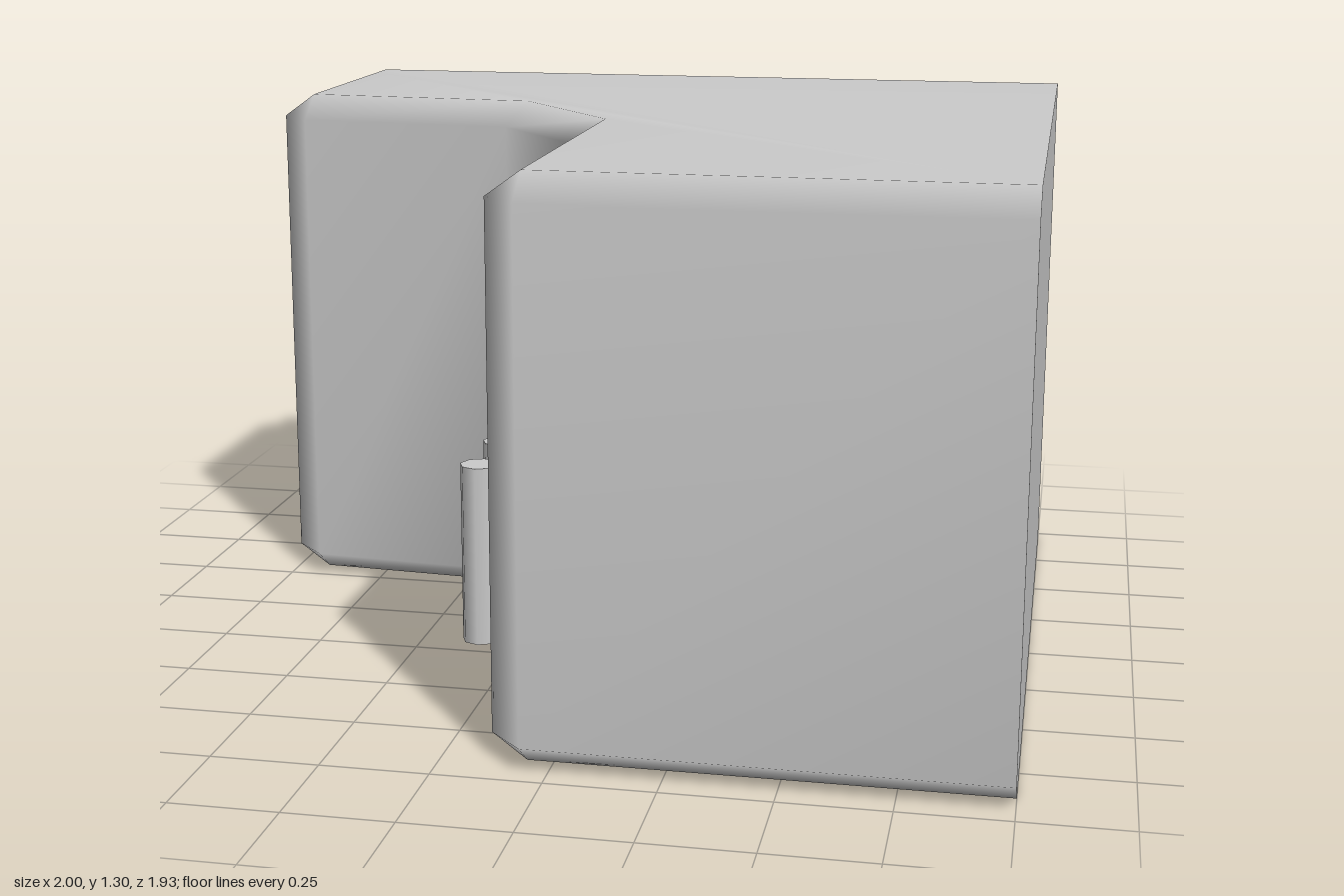
import * as THREE from 'three';
import { mergeVertices } from 'three/addons/utils/BufferGeometryUtils.js';

const material = new THREE.MeshStandardMaterial({ color: 0xcccccc });
const HEIGHT = 1.303, BEVEL = 0.058, BACK = -0.967, RIGHT = 1;

// Plan outline [x, z] from the back left corner round the front to the right side
const outer = [[-0.92, BACK], [-1, -0.885], [-1, -0.33], [-0.92, -0.25], [-0.37, -0.208],
  [-0.14, 0.06], [-0.14, 0.88], [-0.06, 0.963], [RIGHT, 0.963]];
// The same outline drawn in by the bevel, for the top and bottom faces
const inner = [[-0.92, BACK], [-0.92, -0.885], [-0.92, -0.33], [-0.92, -0.33], [-0.33, -0.29],
  [-0.06, 0.03], [-0.06, 0.883], [-0.06, 0.883], [RIGHT, 0.883]];

function mesh(geometry, name) {
  const m = new THREE.Mesh(geometry, material);
  m.name = name;
  return m;
}

// Bevelled front shell with its top and bottom, smooth throughout
function shellGeometry() {
  const positions = [], index = [];
  const rings = [[inner, 0], [outer, BEVEL], [outer, HEIGHT - BEVEL], [inner, HEIGHT]];
  const n = outer.length;
  for (const [ring, y] of rings) for (const [x, z] of ring) positions.push(x, y, z);
  for (let r = 0; r < 3; r++) {
    for (let i = 0; i < n - 1; i++) {
      const a = r * n + i, b = a + 1, c = b + n, d = a + n;
      index.push(a, b, c, a, c, d);
    }
  }
  // caps, without the doubled corner points
  const rim = inner.filter((p, i) => i !== 3 && i !== 7).concat([[RIGHT, BACK]]);
  const faces = THREE.ShapeUtils.triangulateShape(rim.map(([x, z]) => new THREE.Vector2(x, -z)), []);
  for (const [y, up] of [[0, false], [HEIGHT, true]]) {
    const base = positions.length / 3;
    for (const [x, z] of rim) positions.push(x, y, z);
    for (const [a, b, c] of faces) {
      if (up) index.push(base + a, base + b, base + c);
      else index.push(base + a, base + c, base + b);
    }
  }
  let g = new THREE.BufferGeometry();
  g.setAttribute('position', new THREE.Float32BufferAttribute(positions, 3));
  g.setIndex(index);
  g = mergeVertices(g);
  g.computeVertexNormals();
  return g;
}

// Flat panel from outline points
function panel(points, name) {
  return mesh(new THREE.ShapeGeometry(new THREE.Shape(points.map(p => new THREE.Vector2(...p)))), name);
}

// Upright bar handle on two posts
function handle(z) {
  const group = new THREE.Group();
  group.name = 'handle';
  const bar = mesh(new THREE.CylinderGeometry(0.045, 0.045, 0.42, 8), 'handleBar');
  bar.position.set(-0.24, 0.37, z);
  group.add(bar);
  for (const y of [0.21, 0.535]) {
    const post = mesh(new THREE.CylinderGeometry(0.018, 0.018, 0.11, 8), 'handlePost');
    post.rotation.z = Math.PI / 2;
    post.position.set(-0.185, y, z);
    group.add(post);
  }
  return group;
}

export function createModel() {
  const model = new THREE.Group();
  model.name = 'cornerCabinet';
  model.add(mesh(shellGeometry(), 'cabinetShell'));

  // square-edged wall sides
  const back = panel([[-RIGHT, 0], [0.92, 0], [0.92, HEIGHT], [-RIGHT, HEIGHT]], 'backPanel');
  back.rotation.y = Math.PI;
  back.position.z = BACK;
  const side = panel([[-0.883, 0], [-BACK, 0], [-BACK, HEIGHT], [-0.883, HEIGHT],
    [-0.963, HEIGHT - BEVEL], [-0.963, BEVEL]], 'sidePanel');
  side.rotation.y = Math.PI / 2;
  side.position.x = RIGHT;
  model.add(back, side);

  for (const z of [0.375, 0.58]) model.add(handle(z));
  return model;
}
